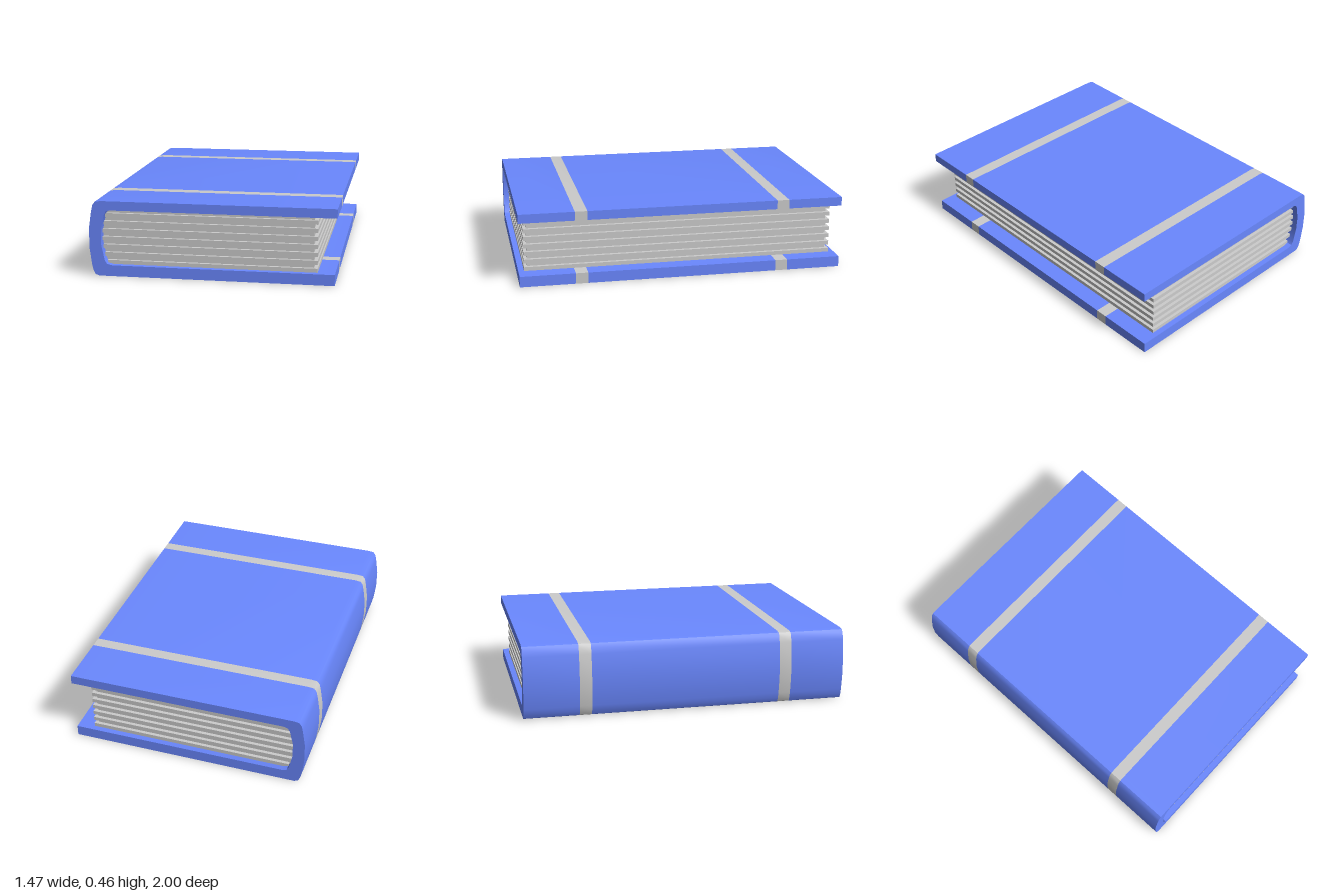
import * as THREE from 'three';
import { toCreasedNormals } from 'three/addons/utils/BufferGeometryUtils.js';

const blue = new THREE.MeshStandardMaterial({ color: 0x6a88ff });
const grey = new THREE.MeshStandardMaterial({ color: 0xcccccc });

// Hollow of the cover, from top to bottom along the spine
const inner = [
  [-0.61, 0.4], [-0.632, 0.392], [-0.645, 0.37], [-0.665, 0.28],
  [-0.665, 0.19], [-0.645, 0.095], [-0.632, 0.074], [-0.6, 0.066],
];
// Outside of the cover, from bottom to top along the spine
const outer = [
  [-0.68, 0], [-0.703, 0.009], [-0.716, 0.035], [-0.724, 0.07], [-0.737, 0.17],
  [-0.737, 0.29], [-0.722, 0.39], [-0.713, 0.43], [-0.698, 0.45], [-0.665, 0.455],
];
// Whole cover section, counter-clockwise
const section = [
  [0.725, 0], ...outer, [0.735, 0.455], [0.735, 0.4], ...inner, [0.725, 0.066],
].reverse();

const toShape = (pts) => new THREE.Shape(pts.map(([x, y]) => new THREE.Vector2(x, y)));

function add(group, name, geometry, material) {
  const mesh = new THREE.Mesh(geometry, material);
  mesh.name = name;
  group.add(mesh);
  return mesh;
}

// Open length of cover between two depths
function coverWall(z0, z1) {
  const pos = [];
  section.forEach(([ax, ay], i) => {
    const [bx, by] = section[(i + 1) % section.length];
    pos.push(ax, ay, z0, bx, by, z0, bx, by, z1, ax, ay, z0, bx, by, z1, ax, ay, z1);
  });
  const g = new THREE.BufferGeometry();
  g.setAttribute('position', new THREE.Float32BufferAttribute(pos, 3));
  return toCreasedNormals(g, 0.6);
}

export function createModel() {
  const book = new THREE.Group();
  book.name = 'book';

  // Cover in alternating blue lengths and grey bands
  const cover = new THREE.Group();
  cover.name = 'cover';
  book.add(cover);
  const cuts = [-1, -0.662, -0.587, 0.587, 0.662, 1];
  for (let i = 0; i < 5; i++) {
    const band = i % 2 === 1;
    add(cover, band ? 'band' : 'coverPanel', coverWall(cuts[i], cuts[i + 1]), band ? grey : blue);
  }

  // Flat ends of the cover
  for (const side of [1, -1]) {
    const end = add(cover, 'coverEnd', new THREE.ShapeGeometry(toShape(section)), blue);
    end.position.z = side;
    if (side < 0) {
      end.geometry.scale(-1, 1, 1); // mirrored winding, turned to face backwards
      const index = end.geometry.index;
      for (let i = 0; i < index.count; i += 3) {
        const b = index.getX(i + 1);
        index.setX(i + 1, index.getX(i + 2));
        index.setX(i + 2, b);
      }
      end.rotation.y = Math.PI;
    }
  }

  // Page block filling the hollow
  const pages = new THREE.Group();
  pages.name = 'pages';
  book.add(pages);
  const block = new THREE.ExtrudeGeometry(
    toShape([[0.6, 0.4], ...inner, [0.6, 0.066]]), { depth: 1.89, bevelEnabled: false });
  add(pages, 'pageBlock', toCreasedNormals(block, 0.6), grey).position.z = -0.945;

  // Slightly larger sheets standing proud of the block
  const step = (0.4 - 0.066) / 14;
  const spineX = (y) => {
    const i = inner.findIndex((p) => p[1] <= y);
    const [ax, ay] = inner[i - 1], [bx, by] = inner[i];
    return ax + ((bx - ax) * (ay - y)) / (ay - by);
  };
  for (let i = 0; i < 7; i++) {
    const y = 0.066 + (2 * i + 0.5) * step;
    const left = spineX(y), right = 0.622;
    const sheet = add(pages, 'sheet', new THREE.BoxGeometry(right - left, step, 1.93), grey);
    sheet.position.set((left + right) / 2, y, 0);
  }
  return book;
}
